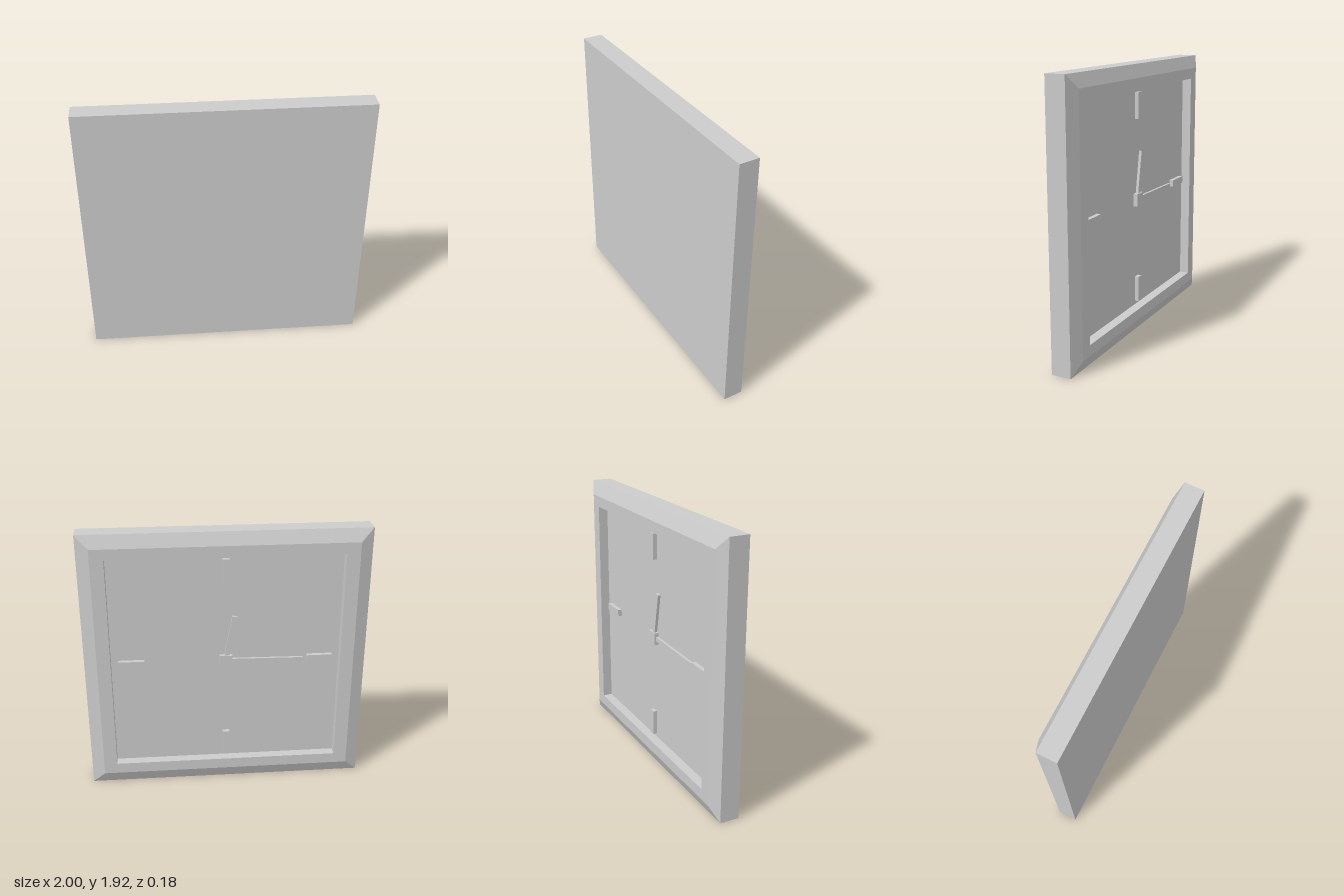
import * as THREE from 'three';

const W = 1, H = 0.962; // half width and half height
const material = new THREE.MeshStandardMaterial({ color: 0xcccccc, flatShading: true });

function addMesh(parent, name, geometry, x = 0, y = 0, z = 0) {
  const mesh = new THREE.Mesh(geometry, material);
  mesh.name = name;
  mesh.position.set(x, y, z);
  parent.add(mesh);
  return mesh;
}

// Skin between successive rectangles given as [halfWidth, halfHeight, z], from back to front
function rectangleLoft(rings) {
  const signs = [[1, -1], [1, 1], [-1, 1], [-1, -1]];
  const corner = ([w, h, z], j) => [signs[j % 4][0] * w, signs[j % 4][1] * h, z];
  const positions = [];
  for (let i = 0; i < rings.length - 1; i++) {
    for (let j = 0; j < 4; j++) {
      const a = corner(rings[i], j), b = corner(rings[i], j + 1);
      const c = corner(rings[i + 1], j + 1), d = corner(rings[i + 1], j);
      positions.push(...a, ...c, ...d, ...a, ...b, ...c);
    }
  }
  const geometry = new THREE.BufferGeometry();
  geometry.setAttribute('position', new THREE.Float32BufferAttribute(positions, 3));
  geometry.computeVertexNormals();
  return geometry;
}

// Bar starting at the pivot and pointing up, turned clockwise by an angle
function addHand(parent, name, width, length, depth, angle) {
  const geometry = new THREE.BoxGeometry(width, length, depth);
  geometry.translate(0, length / 2, depth / 2);
  addMesh(parent, name, geometry).rotation.z = -angle;
}

export function createModel() {
  const model = new THREE.Group();
  model.name = 'wallClock';

  // The clock is built with its dial toward +z, then turned to face -z
  const clock = new THREE.Group();
  clock.name = 'clock';
  clock.position.y = H;
  clock.rotation.y = Math.PI;
  model.add(clock);

  // Frame: straight sides, bevelled rim, flat border, recess wall
  addMesh(clock, 'frame', rectangleLoft([
    [W, H, -0.09],
    [W, H, 0.05],
    [W - 0.09, H - 0.09, 0.09],
    [0.815, 0.793, 0.09],
    [0.815, 0.793, 0.02],
  ]));
  addMesh(clock, 'wallPanel', new THREE.PlaneGeometry(2 * W, 2 * H), 0, 0, -0.09).rotation.y = Math.PI;

  // Recessed dial with its raised parts
  const dial = new THREE.Group();
  dial.name = 'dial';
  dial.position.z = 0.02;
  clock.add(dial);
  addMesh(dial, 'dialFace', new THREE.PlaneGeometry(1.63, 1.586));

  // Four hour markers
  for (let i = 0; i < 4; i++) {
    const angle = i * Math.PI / 2;
    const marker = addMesh(dial, 'hourMarker', new THREE.BoxGeometry(0.05, 0.185, 0.03),
      Math.sin(angle) * 0.672, Math.cos(angle) * 0.672, 0.015);
    marker.rotation.z = -angle;
  }

  // Hub and hands
  addMesh(dial, 'hub', new THREE.BoxGeometry(0.09, 0.09, 0.03), 0, 0, 0.015);
  addHand(dial, 'hourHand', 0.036, 0.345, 0.02, 0.18);
  addHand(dial, 'minuteHand', 0.03, 0.555, 0.018, Math.PI / 2 + 0.015);

  return model;
}
